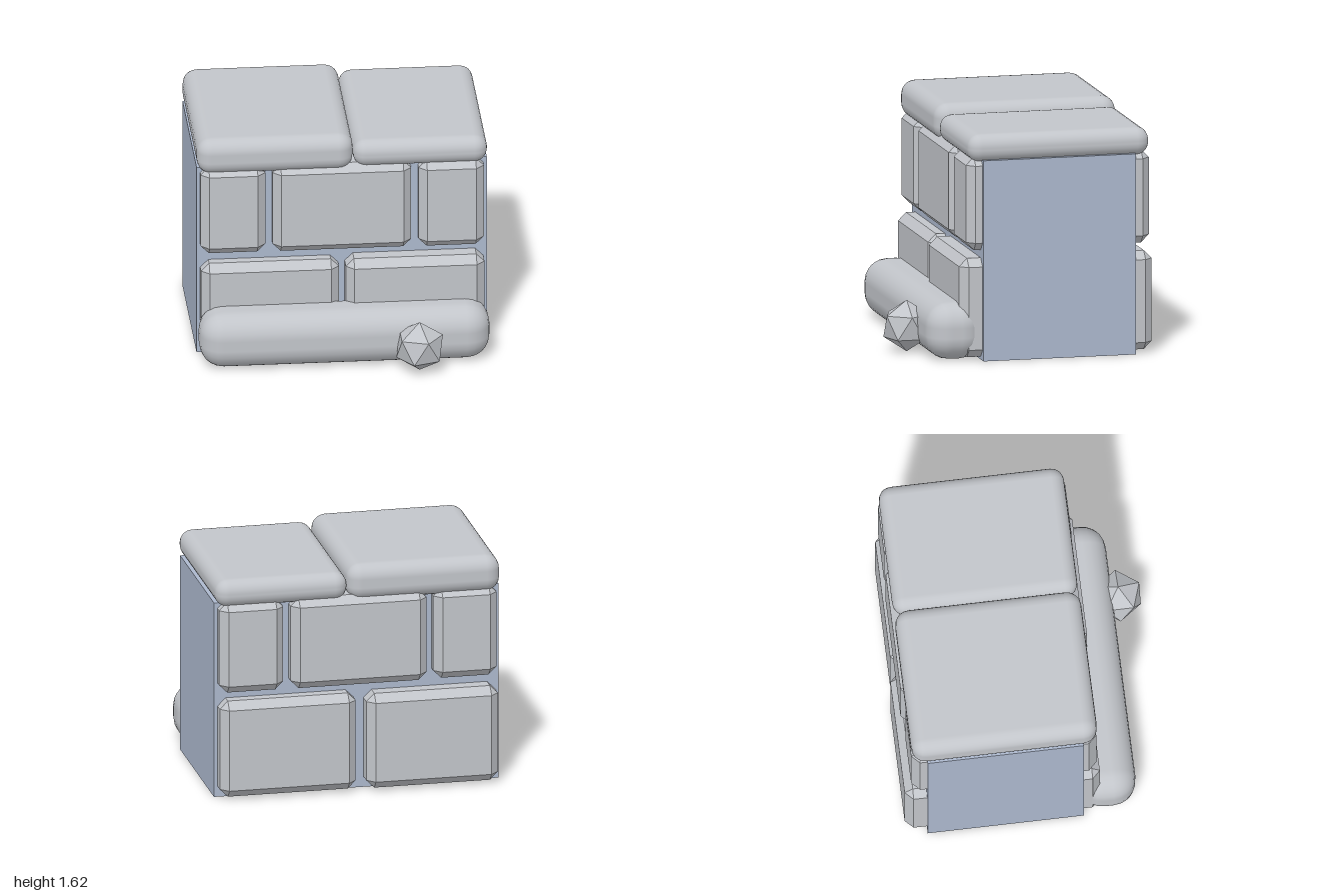
import * as THREE from 'three';
import { RoundedBoxGeometry } from 'three/addons/geometries/RoundedBoxGeometry.js';
import { ConvexGeometry } from 'three/addons/geometries/ConvexGeometry.js';

const stone = new THREE.MeshStandardMaterial({ name: 'pale grey stone', color: 0xc2c5ca });
const mortar = new THREE.MeshStandardMaterial({ name: 'blue grey mortar', color: 0xacb8cd });

function addMesh(group, name, geometry, material) {
  const mesh = new THREE.Mesh(geometry, material);
  mesh.name = name;
  group.add(mesh);
  return mesh;
}

// Box between two corners with every edge cut at 45 degrees
function chamferedBox(x0, x1, y0, y1, z0, z1, c = 0.056) {
  const points = [];
  for (const [x, ix] of [[x0, c], [x1, -c]])
    for (const [y, iy] of [[y0, c], [y1, -c]])
      for (const [z, iz] of [[z0, c], [z1, -c]])
        points.push(
          new THREE.Vector3(x, y + iy, z + iz),
          new THREE.Vector3(x + ix, y, z + iz),
          new THREE.Vector3(x + ix, y + iy, z));
  return new ConvexGeometry(points);
}

// Smooth box between two corners
function softBox(x0, x1, y0, y1, z0, z1, radius) {
  return new RoundedBoxGeometry(x1 - x0, y1 - y0, z1 - z0, 3, radius)
    .translate((x0 + x1) / 2, (y0 + y1) / 2, (z0 + z1) / 2);
}

// Twenty-sided pebble standing on one point
function pebbleGeometry(r) {
  const points = [new THREE.Vector3(0, r, 0), new THREE.Vector3(0, -r, 0)];
  for (let i = 0; i < 10; i++) {
    const a = (i * Math.PI) / 5;
    const y = (i % 2 ? -1 : 1) * r * 0.447;
    points.push(new THREE.Vector3(Math.cos(a) * r * 0.894, y, Math.sin(a) * r * 0.894));
  }
  return new ConvexGeometry(points);
}

export function createModel() {
  const model = new THREE.Group();
  model.name = 'stoneWall';

  // Mortar core
  addMesh(model, 'mortarCore', new THREE.BoxGeometry(2, 1.4, 1.08).translate(0, 0.7, -0.21), mortar);

  // Bricks: x0, x1, y0, y1, outer z
  const bricks = {
    frontBrick: [
      [-0.975, -0.025, 0.02, 0.7, 0.45], [0.02, 0.975, 0.02, 0.71, 0.483],
      [-0.975, -0.53, 0.765, 1.415, 0.425], [-0.48, 0.475, 0.765, 1.415, 0.43], [0.525, 0.975, 0.765, 1.415, 0.435],
    ],
    backBrick: [
      [-0.975, -0.05, 0.02, 0.7, -0.9], [0.02, 0.975, 0.02, 0.71, -0.88],
      [-0.975, -0.53, 0.765, 1.415, -0.855], [-0.48, 0.475, 0.765, 1.415, -0.868], [0.525, 0.975, 0.765, 1.415, -0.86],
    ],
  };
  for (const [name, list] of Object.entries(bricks))
    for (const [x0, x1, y0, y1, z] of list) {
      const inner = z - Math.sign(z) * 0.3;
      addMesh(model, name, chamferedBox(x0, x1, y0, y1, Math.min(z, inner), Math.max(z, inner)), stone);
    }

  // Cap stones
  addMesh(model, 'leftCapStone', softBox(-1, 0.075, 1.365, 1.625, -0.855, 0.43, 0.1), stone);
  addMesh(model, 'rightCapStone', softBox(0.075, 1, 1.38, 1.575, -0.855, 0.425, 0.09), stone);

  // Rounded foot along the front
  addMesh(model, 'frontFoot', softBox(-1, 1, 0, 0.4, 0.31, 0.705, 0.165), stone);

  // Loose pebble
  addMesh(model, 'pebble', pebbleGeometry(0.179), stone).position.set(0.5, 0.18, 0.748);

  return model;
}
